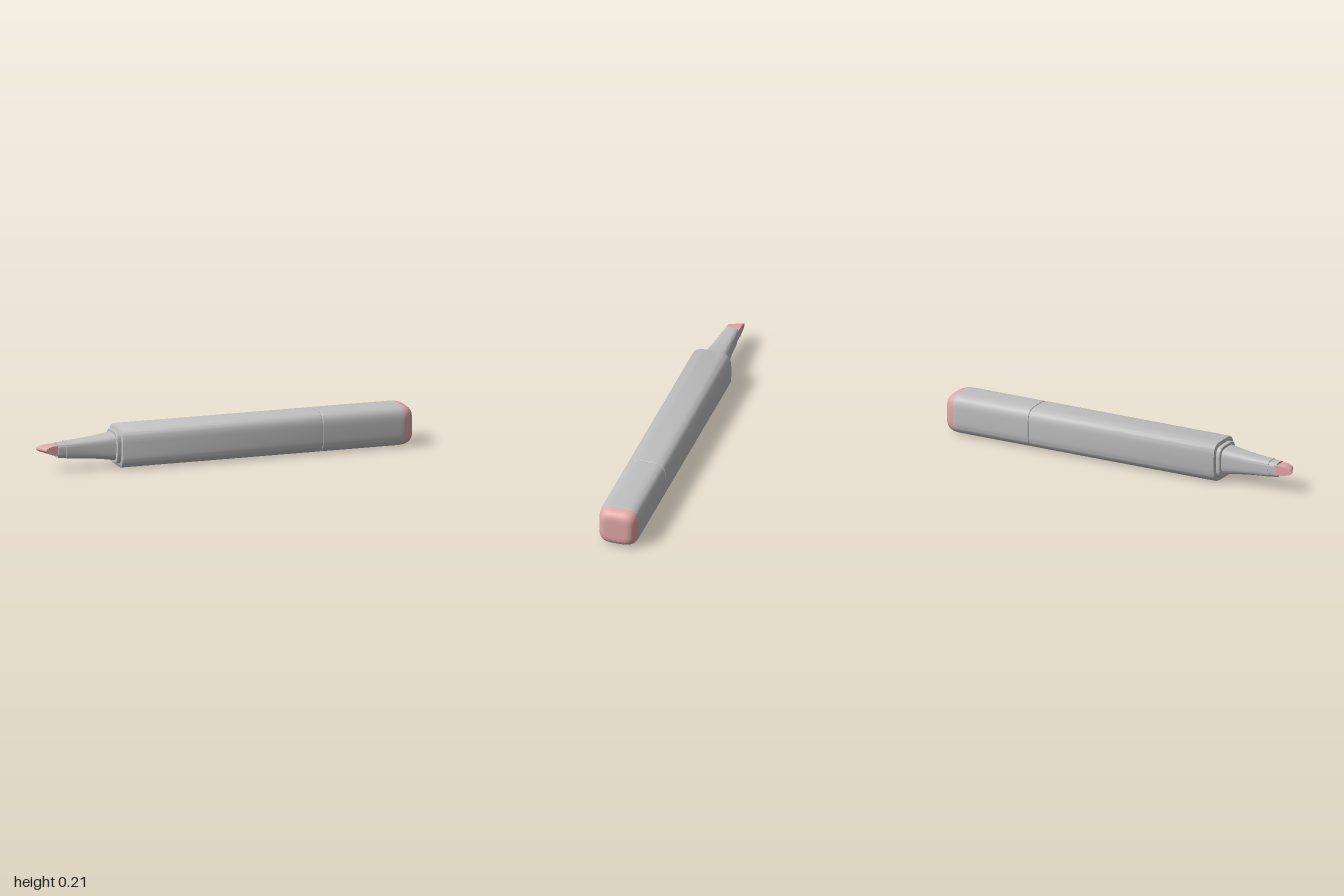
import * as THREE from 'three';
import { toCreasedNormals } from 'three/addons/utils/BufferGeometryUtils.js';

const SEGMENTS = 64;
const CENTER_Y = 0.107;

// Point on a rounded-square (superellipse) outline of half size 1
function outline(j) {
  const a = (j / SEGMENTS) * Math.PI * 2;
  const power = (v) => Math.sign(v) * Math.sqrt(Math.abs(v));
  return [power(Math.cos(a)), power(Math.sin(a))];
}

// Skin rounded-square sections along x; each station is [x, half size]
function loft(stations) {
  const positions = [];
  const index = [];
  for (const [x, half] of stations) {
    for (let j = 0; j < SEGMENTS; j++) {
      const [y, z] = outline(j);
      positions.push(x, CENTER_Y + y * half, z * half);
    }
  }
  for (let i = 0; i < stations.length - 1; i++) {
    for (let j = 0; j < SEGMENTS; j++) {
      const k = (j + 1) % SEGMENTS;
      const a = i * SEGMENTS + j, b = i * SEGMENTS + k;
      const c = a + SEGMENTS, d = b + SEGMENTS;
      if (stations[i][1] > 0) index.push(a, b, c);
      if (stations[i + 1][1] > 0) index.push(b, d, c);
    }
  }
  const geometry = new THREE.BufferGeometry();
  geometry.setAttribute('position', new THREE.Float32BufferAttribute(positions, 3));
  geometry.setIndex(index);
  return toCreasedNormals(geometry, 0.6);
}

// Chisel nib: wedge profile extruded across z, with the end cut on a slant
function nibGeometry() {
  const shape = new THREE.Shape();
  shape.moveTo(-0.89, -0.025);
  shape.lineTo(-0.89, 0.027);
  shape.lineTo(-0.93, 0.027);
  shape.quadraticCurveTo(-0.97, 0.025, -0.993, 0.015);
  shape.quadraticCurveTo(-1.007, 0.005, -0.993, -0.005);
  shape.quadraticCurveTo(-0.965, -0.019, -0.93, -0.023);
  shape.closePath();
  const depth = 0.071;
  const geometry = new THREE.ExtrudeGeometry(shape, { depth, bevelEnabled: false, curveSegments: 10 });
  const p = geometry.attributes.position;
  for (let i = 0; i < p.count; i++) {
    const x = p.getX(i), z = p.getZ(i);
    const towardEnd = THREE.MathUtils.clamp((-0.9 - x) / 0.1, 0, 1);
    p.setX(i, x + 0.034 * towardEnd * (z / depth));
  }
  geometry.translate(0, CENTER_Y + 0.002, -0.038);
  return toCreasedNormals(geometry, 0.5);
}

export function createModel() {
  const grey = new THREE.MeshStandardMaterial({ color: 0xc0c0c0 });
  grey.name = 'light grey plastic';
  const pink = new THREE.MeshStandardMaterial({ color: 0xe0a9a7 });
  pink.name = 'pink ink';

  const group = new THREE.Group();
  group.name = 'marker';
  const add = (name, geometry, material) => {
    const mesh = new THREE.Mesh(geometry, material);
    mesh.name = name;
    group.add(mesh);
  };

  // Rounding of the closed end, shared by the rear section and its pink plug
  const R = 0.106;
  const endStart = 0.91;
  const endHalf = (x) => {
    const u = Math.min(1, Math.max(0, (x - endStart) / (1 - endStart)));
    return 0.05 + (R - 0.05) * Math.pow(1 - Math.pow(u, 2.6), 1 / 2.6);
  };
  const plugStart = 0.945;

  // Main barrel, slightly eased at both ends
  add('barrel', loft([
    [-0.58, 0], [-0.58, 0.101], [-0.578, 0.104], [-0.573, R],
    [0.498, R], [0.5, 0.104], [0.5, 0],
  ]), grey);

  // Recessed seam between barrel and rear section
  add('seam', loft([[0.498, 0.1025], [0.507, 0.1025]]), grey);

  // Rear section up to the pink plug
  const rear = [[0.505, 0], [0.505, 0.104], [0.507, R], [endStart, R]];
  for (let i = 1; i <= 4; i++) {
    const x = endStart + (plugStart - endStart) * i / 4;
    rear.push([x, endHalf(x)]);
  }
  add('rearSection', loft(rear), grey);

  // Pink end plug
  const plug = [];
  for (let i = 0; i <= 14; i++) {
    const t = Math.sin((i / 14) * Math.PI / 2);
    const x = plugStart + (1 - plugStart) * t;
    plug.push([x, endHalf(x)]);
  }
  plug.push([1, 0]);
  add('endPlug', loft(plug), pink);

  // Collar step in front of the barrel
  add('collar', loft([
    [-0.602, 0], [-0.602, 0.081], [-0.599, 0.084], [-0.579, 0.084],
  ]), grey);

  // Nozzle with a concave taper
  add('nozzle', loft([
    [-0.86, 0], [-0.86, 0.043], [-0.82, 0.0445], [-0.77, 0.048],
    [-0.71, 0.054], [-0.65, 0.0615], [-0.6, 0.069],
  ]), grey);

  // Narrow sleeve that holds the nib
  add('nibSleeve', loft([
    [-0.905, 0], [-0.905, 0.038], [-0.858, 0.04],
  ]), grey);

  add('nib', nibGeometry(), pink);
  return group;
}
